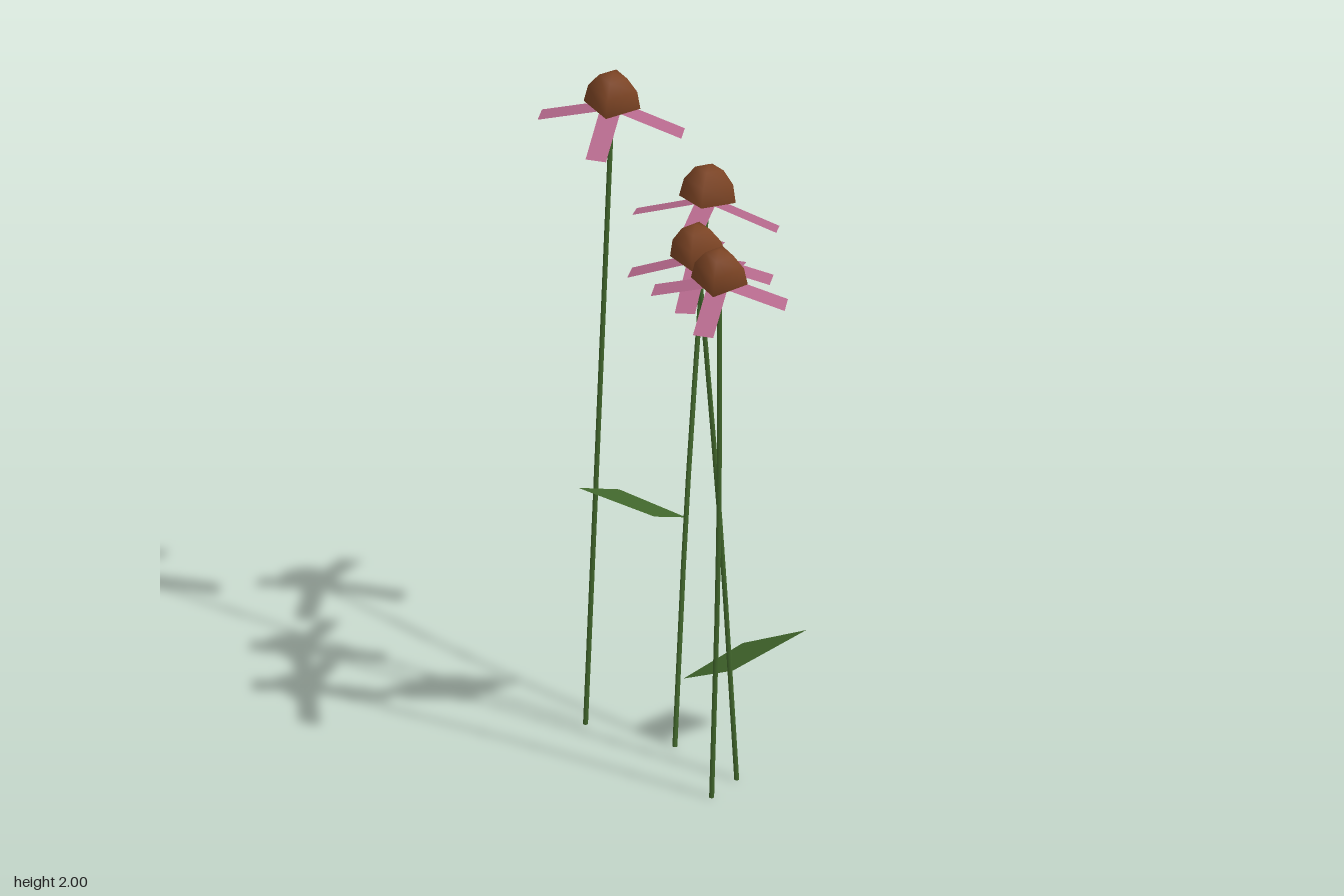
import * as THREE from 'three';

const paint = (name, color) => {
  const m = new THREE.MeshStandardMaterial({ color, side: THREE.DoubleSide });
  m.name = name;
  return m;
};

export function createModel() {
  const green = paint('leafGreen', 0x43692d);
  const pink = paint('petalPink', 0xb4688b);
  const brown = paint('coneBrown', 0x7c4424);
  const model = new THREE.Group();
  model.name = 'coneflowers';

  const add = (parent, name, geometry, material) => {
    const mesh = new THREE.Mesh(geometry, material);
    mesh.name = name;
    parent.add(mesh);
    return mesh;
  };

  // Four-sided domed cone, corners on the axes
  const coneGeo = new THREE.SphereGeometry(0.0765, 4, 3, 0, Math.PI * 2, 0, Math.PI / 2);
  coneGeo.scale(1, 1.3, 1);

  // Flat strip petal running outward along +x and drooping
  const petalGeo = new THREE.PlaneGeometry(0.204, 0.055);
  petalGeo.rotateX(-Math.PI / 2);
  petalGeo.translate(0.102, 0, 0);
  petalGeo.rotateZ(-0.31);

  // Stem points from foot to top, petal length, small turn of each petal (+x, -z, -x, +z)
  const flowers = [
    { stem: [[-0.277, 0, -0.217], [-0.235, 0.8, -0.162], [-0.181, 1.902, -0.103]], size: 0.99, turns: [0.04, 0, 0, 0] },
    { stem: [[-0.02, 0, -0.14], [0.002, 0.72, -0.193], [0.033, 1.545, -0.302]], size: 0.99, turns: [0.05, 0, 0, -0.06] },
    { stem: [[0.18, 0, 0.012], [0.142, 0.75, 0.037], [0.091, 1.572, 0.08]], size: 0.99, turns: [0.02, 0, -0.05, 0] },
    { stem: [[0.136, 0, 0.125], [0.172, 0.8, 0.205], [0.199, 1.635, 0.32]], size: 0.92, turns: [0.05, -0.04, 0, -0.03] },
  ];
  const up = new THREE.Vector3(0, 1, 0);
  for (const { stem, size, turns } of flowers) {
    const flower = new THREE.Group();
    flower.name = 'flower';
    model.add(flower);
    const curve = new THREE.CatmullRomCurve3(stem.map((p) => new THREE.Vector3(...p)));
    add(flower, 'stem', new THREE.TubeGeometry(curve, 6, 0.007, 5), green);

    // Flower head leans along the end of its stem
    const head = new THREE.Group();
    head.name = 'flowerHead';
    head.position.copy(curve.getPoint(1));
    head.quaternion.setFromUnitVectors(up, curve.getTangent(1));
    flower.add(head);
    add(head, 'cone', coneGeo, brown);
    turns.forEach((turn, i) => {
      const petal = add(head, 'petal', petalGeo, pink);
      petal.rotation.y = (i * Math.PI) / 2 + turn;
      petal.scale.set(size, size, 1);
    });
  }

  // Diamond leaves: base, side, tip, side
  const leaves = [
    [0, 0.655, -0.19, -0.05, 0.735, -0.025, -0.24, 0.835, 0.045, -0.17, 0.745, -0.14],
    [0, 0.195, -0.155, 0.15, 0.275, -0.075, 0.328, 0.367, -0.17, 0.14, 0.27, -0.245],
  ];
  for (const corners of leaves) {
    const geo = new THREE.BufferGeometry();
    geo.setAttribute('position', new THREE.Float32BufferAttribute(corners, 3));
    geo.setIndex([0, 1, 2, 0, 2, 3]);
    geo.computeVertexNormals();
    add(model, 'leaf', geo, green);
  }
  return model;
}
